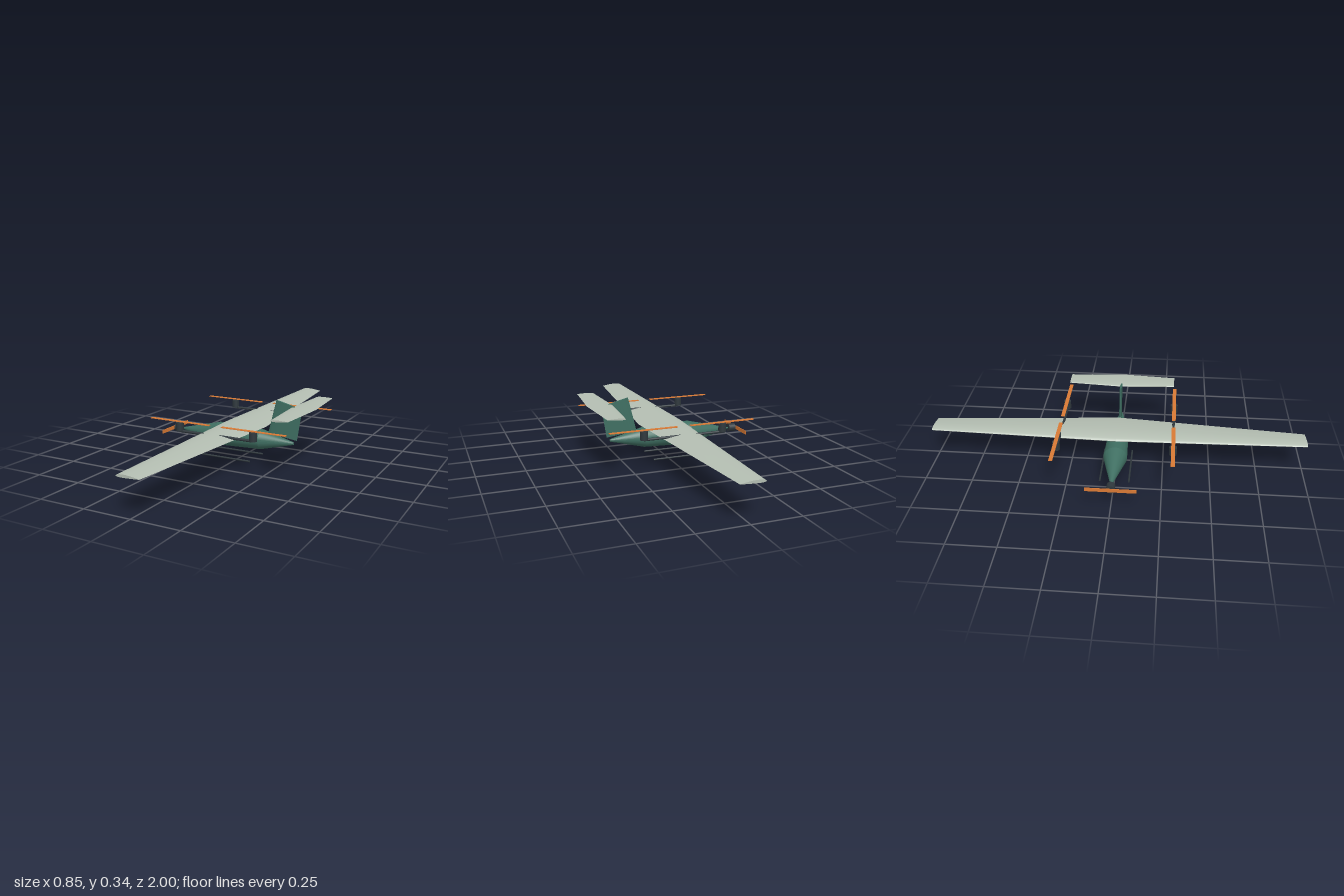
import * as THREE from 'three';
import { toCreasedNormals } from 'three/addons/utils/BufferGeometryUtils.js';

const paint = (color) => new THREE.MeshStandardMaterial({ color });
const V = (x, y, z) => new THREE.Vector3(x, y, z);

// Closed airfoil loop on a unit chord: trailing edge, over the top, round the nose, back underneath
function airfoil(thickness, camber, n = 14) {
  const half = (x) => 5 * thickness * (0.2969 * Math.sqrt(x) - 0.126 * x - 0.3516 * x ** 2 + 0.2843 * x ** 3 - 0.1036 * x ** 4);
  const mean = (x) => x < 0.4 ? camber / 0.16 * (0.8 * x - x * x) : camber / 0.36 * (0.2 + 0.8 * x - x * x);
  const loop = [];
  for (let i = 0; i < 2 * n; i++) {
    const x = (1 + Math.cos(Math.PI * i / n)) / 2;
    loop.push([x, mean(x) + (i <= n ? 1 : -1) * half(x)]);
  }
  return loop;
}

// Skins an airfoil through stations given as [leading edge, trailing edge]
function loft(loop, stations, up) {
  const n = loop.length, pos = [], idx = [];
  for (const [le, te] of stations) {
    const chord = le.distanceTo(te);
    for (const [x, t] of loop) {
      pos.push(...le.clone().lerp(te, x).addScaledVector(up, t * chord).toArray());
    }
  }
  for (let s = 0; s < stations.length - 1; s++) {
    for (let i = 0; i < n; i++) {
      const a = s * n + i, b = s * n + (i + 1) % n;
      idx.push(a, b, a + n, b, b + n, a + n);
    }
  }
  const last = (stations.length - 1) * n;
  for (let i = 1; i < n - 1; i++) idx.push(0, i + 1, i, last, last + i, last + i + 1);
  const geo = new THREE.BufferGeometry();
  geo.setAttribute('position', new THREE.Float32BufferAttribute(pos, 3));
  geo.setIndex(idx);
  return toCreasedNormals(geo, 0.7);
}

export function createModel() {
  const group = new THREE.Group();
  const green = paint(0x3f6f62), pale = paint(0xb4beb2), dark = paint(0x2f383d), orange = paint(0xd97a35);

  const add = (name, geo, mat, x = 0, y = 0, z = 0) => {
    const mesh = new THREE.Mesh(geo, mat);
    mesh.name = name;
    mesh.position.set(x, y, z);
    group.add(mesh);
    return mesh;
  };
  const rodX = (r, length, sides) => new THREE.CylinderGeometry(r, r, length, sides).rotateZ(Math.PI / 2);

  // Fuselage, nose towards -x
  const profile = [[0, -0.382], [0.003, -0.382], [0.063, -0.14], [0.054, 0.12], [0.007, 0.305], [0, 0.305]]
    .map(([r, x]) => new THREE.Vector2(r, x));
  const body = new THREE.LatheGeometry(profile, 36).rotateZ(-Math.PI / 2);
  add('fuselage', toCreasedNormals(body, 0.2), green, 0, 0.113, 0);

  // Nose motor and propeller
  add('noseMotor', rodX(0.022, 0.038, 20), dark, -0.401, 0.114, 0);
  add('nosePropeller', new THREE.BoxGeometry(0.003, 0.02, 0.26), orange, -0.426, 0.114, 0);

  // Tapered main wing
  add('wing', loft(airfoil(0.12, 0.02), [
    [V(-0.066, 0.184, -1), V(0.056, 0.184, -1)],
    [V(-0.093, 0.184, 0), V(0.145, 0.184, 0)],
    [V(-0.066, 0.184, 1), V(0.056, 0.184, 1)],
  ], V(0, 1, 0)), pale);

  // Tailplane on top of the swept fin
  add('tailplane', loft(airfoil(0.1, 0), [
    [V(0.308, 0.303, -0.295), V(0.402, 0.307, -0.295)],
    [V(0.288, 0.302, 0), V(0.424, 0.307, 0)],
    [V(0.308, 0.303, 0.295), V(0.402, 0.307, 0.295)],
  ], V(0, 1, 0)), pale);
  add('fin', loft(airfoil(0.08, 0), [
    [V(0.159, 0.156, 0), V(0.323, 0.13, 0)],
    [V(0.203, 0.336, 0), V(0.349, 0.299, 0)],
  ], V(0, 0, -1)), green);

  for (const [side, s] of [['left', -1], ['right', 1]]) {
    // Lift booms, each with a motor and rotor at both ends
    add(side + 'Boom', rodX(0.007, 0.42, 12), dark, 0.01, 0.191, s * 0.3);
    for (const [end, x] of [['Front', -0.2], ['Rear', 0.22]]) {
      add(side + end + 'LiftMotor', new THREE.CylinderGeometry(0.02, 0.02, 0.044, 20), dark, x, 0.213, s * 0.3);
      add(side + end + 'Rotor', new THREE.BoxGeometry(0.35, 0.003, 0.02), orange, x, 0.24, s * 0.3);
    }
    // Landing skids
    add(side + 'Skid', rodX(0.005, 0.292, 10), dark, -0.058, 0.005, s * 0.077);
  }
  return group;
}
